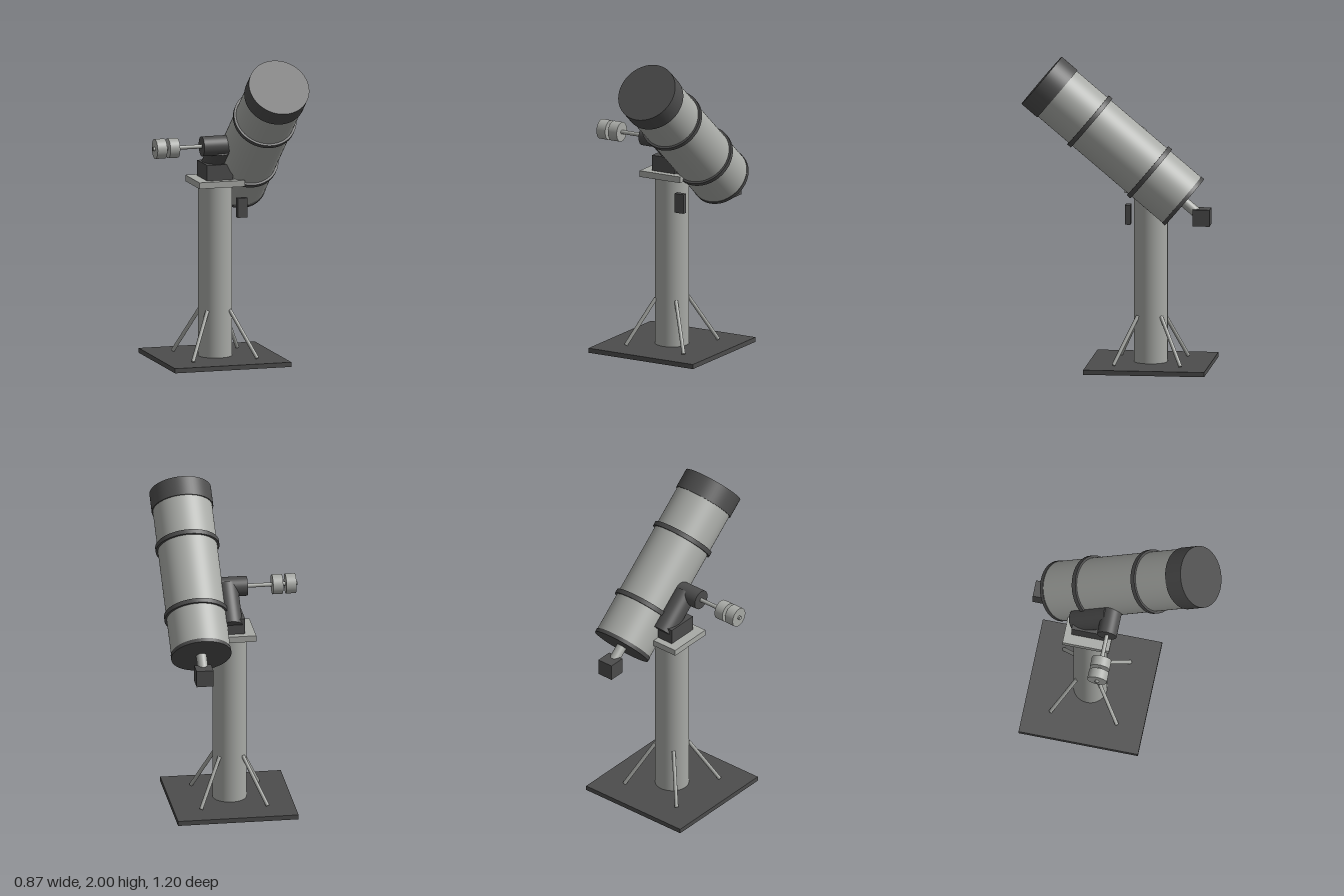
import * as THREE from 'three';

const material = (name, color) => Object.assign(new THREE.MeshStandardMaterial({ color }), { name });

export function createModel() {
  const model = new THREE.Group();
  model.name = 'telescopeOnPier';
  const light = material('light grey', 0xa8aaa6);
  const dark = material('dark grey', 0x4c4c4c);

  const add = (name, geometry, mat, parent = model) => {
    const mesh = new THREE.Mesh(geometry, mat);
    mesh.name = name;
    parent.add(mesh);
    return mesh;
  };
  const box = (name, size, pos, mat) =>
    add(name, new THREE.BoxGeometry(...size), mat).position.set(...pos);
  // Cylinder running between two points
  const rod = (name, from, to, radius, mat, segments = 48) => {
    const a = new THREE.Vector3(...from), b = new THREE.Vector3(...to);
    const dir = b.clone().sub(a);
    const mesh = add(name, new THREE.CylinderGeometry(radius, radius, dir.length(), segments), mat);
    mesh.position.copy(a).add(b).multiplyScalar(0.5);
    mesh.quaternion.setFromUnitVectors(new THREE.Vector3(0, 1, 0), dir.normalize());
  };

  // Pier with base, top plate and diagonal braces
  const px = 0.015, pz = -0.195;
  box('basePlate', [0.77, 0.03, 0.77], [px, 0.015, pz], dark);
  rod('pier', [px, 0.03, pz], [px, 1.13, pz], 0.107, light);
  box('topPlate', [0.3, 0.04, 0.3], [px, 1.15, pz], light);
  for (const sx of [-1, 1]) for (const sz of [-1, 1]) {
    rod('brace', [px + sx * 0.213, 0.035, pz + sz * 0.213],
      [px + sx * 0.074, 0.33, pz + sz * 0.074], 0.012, light, 16);
  }
  box('handController', [0.065, 0.125, 0.035], [0.153, 0.993, -0.067], dark);

  // Equatorial mount
  const my = 1.4, mz = -0.063;
  box('mountBase', [0.17, 0.1, 0.21], [px, 1.22, pz], dark);
  rod('polarAxisHousing', [px, 1.214, -0.285], [px, my, mz], 0.073, dark);
  rod('declinationHousing', [-0.115, my, mz], [0.09, my, mz], 0.063, dark);
  rod('counterweightShaft', [-0.437, my, mz], [-0.1, my, mz], 0.013, light, 24);
  for (const x of [-0.393, -0.308]) {
    rod('counterweight', [x - 0.032, my, mz], [x + 0.032, my, mz], 0.063, light);
  }

  // Optical tube, built along its own axis from the rear end
  const scope = new THREE.Group();
  scope.name = 'opticalTube';
  scope.position.set(0.23, 1.09, -0.435);
  scope.rotation.x = THREE.MathUtils.degToRad(50);
  model.add(scope);
  const section = (name, start, end, radius, mat) => {
    add(name, new THREE.CylinderGeometry(radius, radius, end - start, 64), mat, scope)
      .position.y = (start + end) / 2;
  };
  section('rearCell', 0, 0.025, 0.192, dark);
  section('tubeBody', 0.02, 1.08, 0.189, light);
  section('rearRing', 0.277, 0.307, 0.203, dark);
  section('frontRing', 0.772, 0.802, 0.203, dark);
  section('frontCap', 1.057, 1.187, 0.196, dark);
  section('focuser', -0.13, 0.01, 0.033, light);
  box('camera', [0.108, 0.106, 0.108], [0.23, 0.998, -0.546], dark);

  return model;
}
